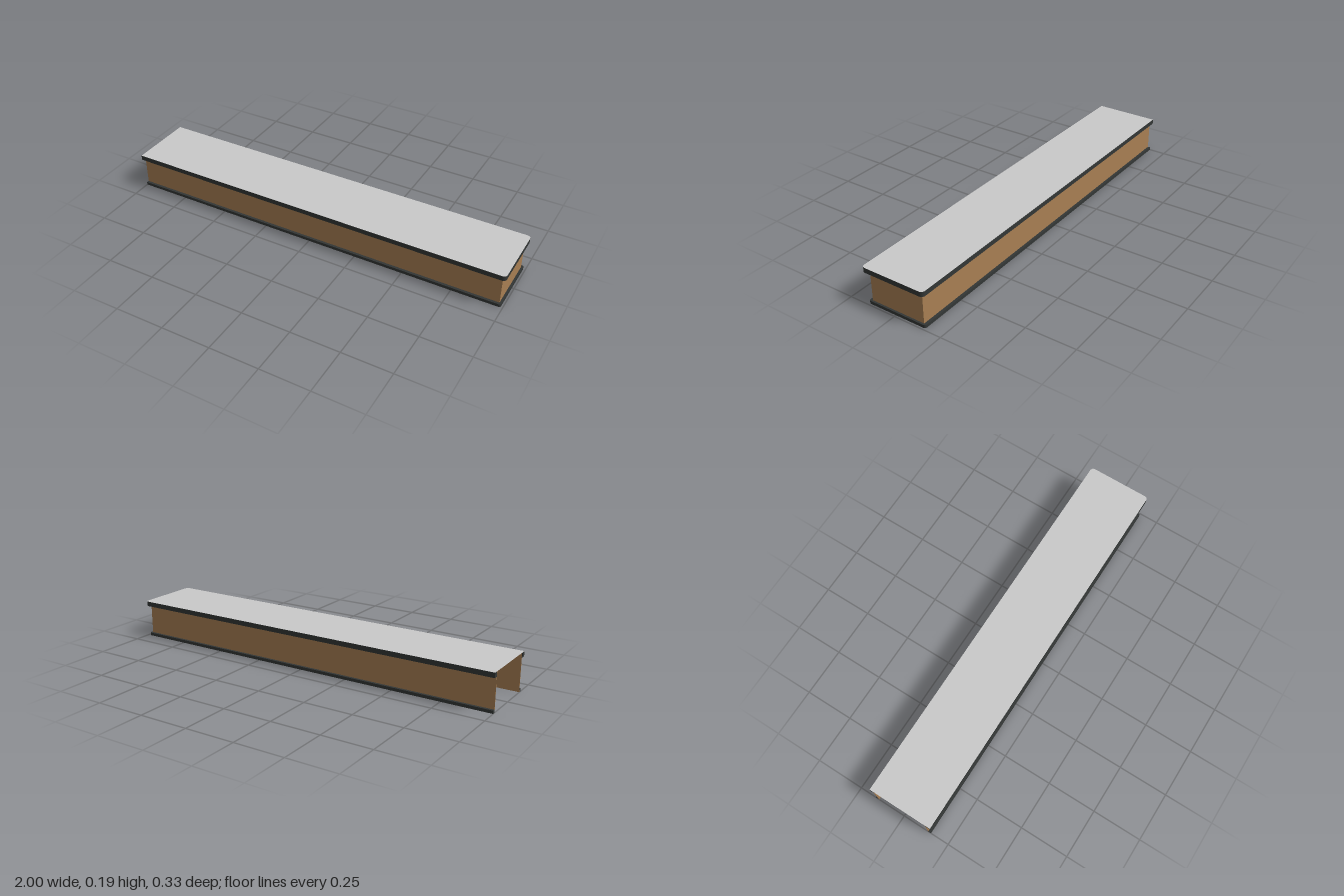
import * as THREE from 'three';

const wood = new THREE.MeshStandardMaterial({ color: 0xa87f53 });
wood.name = 'wood brown';
const trim = new THREE.MeshStandardMaterial({ color: 0x333635 });
trim.name = 'dark trim';
const top = new THREE.MeshStandardMaterial({ color: 0xc9c9c9, side: THREE.DoubleSide });
top.name = 'light grey top';

const BACK_END = -1; // the open end

// Trace an outline whose two corners at the closed (+x) end are rounded
function traceOutline(shape, endX, zBack, zFront, r) {
  const lo = -zFront, hi = -zBack;
  shape.moveTo(BACK_END, lo);
  shape.lineTo(endX - r, lo);
  if (r) shape.absarc(endX - r, lo + r, r, -Math.PI / 2, 0);
  else shape.lineTo(endX, lo);
  shape.lineTo(endX, hi - r);
  if (r) shape.absarc(endX - r, hi - r, r, 0, Math.PI / 2);
  shape.lineTo(BACK_END, hi);
  return shape;
}

// U-shaped band running round three sides, open at -x
function band(name, material, { endX, zBack, zFront, r, thick, y0, y1 }) {
  const shape = traceOutline(new THREE.Shape(), endX, zBack, zFront, r);
  const lo = -zFront + thick, hi = -zBack - thick;
  shape.lineTo(BACK_END, hi);
  shape.lineTo(endX - thick, hi);
  shape.lineTo(endX - thick, lo);
  shape.lineTo(BACK_END, lo);
  const geo = new THREE.ExtrudeGeometry(shape, { depth: y1 - y0, bevelEnabled: false, curveSegments: 5 });
  geo.rotateX(-Math.PI / 2).translate(0, y0, 0);
  const mesh = new THREE.Mesh(geo, material);
  mesh.name = name;
  return mesh;
}

export function createModel() {
  const group = new THREE.Group();
  group.name = 'counter';

  // Thin wooden walls on the front, back and closed end
  group.add(band('walls', wood, {
    endX: 0.98, zBack: -0.148, zFront: 0.139, r: 0, thick: 0.002, y0: 0.001, y1: 0.189,
  }));

  // Plinth strip at the floor
  group.add(band('baseTrim', trim, {
    endX: 0.99, zBack: -0.162, zFront: 0.153, r: 0.011, thick: 0.0135, y0: 0, y1: 0.015,
  }));

  // Edge strip under the overhanging top
  group.add(band('topEdge', trim, {
    endX: 1, zBack: -0.167, zFront: 0.167, r: 0.018, thick: 0.0185, y0: 0.165, y1: 0.1895,
  }));

  // Flat countertop sheet
  const sheet = traceOutline(new THREE.Shape(), 1, -0.167, 0.167, 0.018);
  const sheetGeo = new THREE.ShapeGeometry(sheet, 5);
  sheetGeo.rotateX(-Math.PI / 2).translate(0, 0.19, 0);
  const countertop = new THREE.Mesh(sheetGeo, top);
  countertop.name = 'countertop';
  group.add(countertop);

  // Closes the gap between the edge strip and the walls, hidden from above
  for (const [z0, z1] of [[-0.149, -0.146], [0.137, 0.149]]) {
    const filler = new THREE.Mesh(new THREE.BoxGeometry(1.98, 0.004, z1 - z0), trim);
    filler.position.set(-0.01, 0.167, (z0 + z1) / 2);
    filler.name = 'edgeSoffit';
    group.add(filler);
  }

  return group;
}
